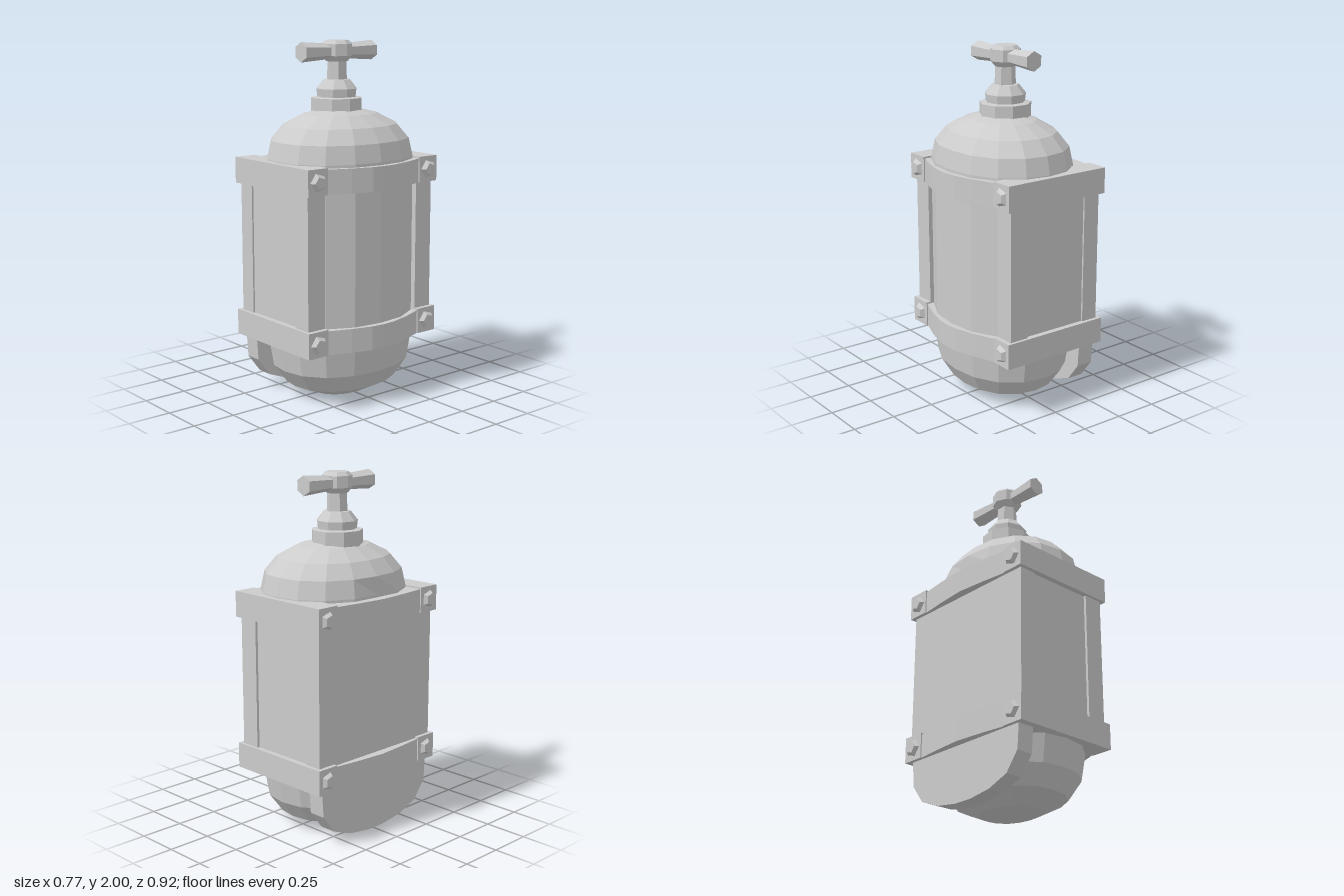
import * as THREE from 'three';

const material = new THREE.MeshStandardMaterial({ color: 0xcccccc, flatShading: true });

export function createModel() {
  const model = new THREE.Group();
  const add = (name, geometry, x = 0, y = 0, z = 0) => {
    const mesh = new THREE.Mesh(geometry, material);
    mesh.name = name;
    mesh.position.set(x, y, z);
    model.add(mesh);
    return mesh;
  };
  const box = (name, x0, x1, y0, y1, z0, z1) =>
    add(name, new THREE.BoxGeometry(x1 - x0, y1 - y0, Math.abs(z1 - z0)),
      (x0 + x1) / 2, (y0 + y1) / 2, (z0 + z1) / 2);
  const points = list => list.map(([a, b]) => new THREE.Vector2(a, b));

  // Tank: lathe squashed to a slightly squared oval, flattened on the right side
  const tank = new THREE.LatheGeometry(points([
    [0, 0.005], [0.42, 0.012], [0.76, 0.075], [0.94, 0.18], [1, 0.33], [1, 0.85], [1, 1.36],
    [0.945, 1.46], [0.78, 1.54], [0.5, 1.6], [0.3, 1.62], [0, 1.63]]), 16);
  const pos = tank.attributes.position;
  for (let i = 0; i < pos.count; i++) {
    const x = pos.getX(i), z = pos.getZ(i), r = Math.hypot(x, z);
    if (r < 1e-6) continue;
    const a = Math.abs(x / r), b = Math.abs(z / r);
    const k = 1 / Math.pow(a ** 2.25 + b ** 2.25, 1 / 2.25);
    pos.setX(i, Math.max(x * k * 0.35 + 0.003, -0.33));
    pos.setZ(i, z * k * 0.428);
  }
  add('tank', tank);

  // Flat backboard with a rounded lower edge
  const half = [[0.44, 1.3], [0.44, 0.4], [0.42, 0.33], [0.41, 0.19], [0.33, 0.085], [0.2, 0.035], [0.06, 0.015]];
  const outline = [...half, ...half.map(([z, y]) => [-z, y]).reverse()];
  const board = new THREE.ExtrudeGeometry(new THREE.Shape(points(outline)), { depth: 0.1, bevelEnabled: false });
  board.rotateY(-Math.PI / 2);
  add('backboard', board, -0.235);

  // Front and back panels with their corner posts
  for (const s of [-1, 1]) {
    box('panel', -0.25, 0.18, 0.4, 1.28, s * 0.3, s * 0.43);
    box('cornerPost', 0.16, 0.275, 0.4, 1.28, s * 0.33, s * 0.445);
  }

  // Two straps: bowed side bands, straight clamp bars and bolts
  const strap = new THREE.Shape(points([
    [-0.345, -0.38], [-0.37, -0.18], [-0.385, 0], [-0.37, 0.18], [-0.345, 0.38], [0.28, 0.38],
    [0.295, 0.33], [0.345, 0.2], [0.378, 0.08], [0.385, 0], [0.378, -0.08], [0.345, -0.2],
    [0.295, -0.33], [0.28, -0.38]]));
  for (const y of [0.33, 1.21]) {
    const band = new THREE.ExtrudeGeometry(strap, { depth: 0.135, bevelEnabled: false });
    band.rotateX(-Math.PI / 2);
    add('sideBand', band, 0, y);
    for (const s of [-1, 1]) {
      box('clampBar', -0.358, 0.302, y, y + 0.145, s * 0.33, s * 0.462);
      for (const [x, d] of [[0.312, -1], [-0.366, 1]]) {
        const bolt = new THREE.CylinderGeometry(0.035, 0.055, 0.025, 5);
        bolt.rotateZ(d * Math.PI / 2);
        add('bolt', bolt, x, y + 0.072, s * 0.396);
      }
    }
  }

  // Valve: stepped collar, stem and faceted knob in one profile each
  const cx = -0.025;
  add('collar', new THREE.LatheGeometry(points([
    [0, 1.6], [0.145, 1.6], [0.145, 1.685], [0.11, 1.69], [0.115, 1.735], [0.075, 1.785], [0, 1.79]]), 9), cx);
  add('stem', new THREE.CylinderGeometry(0.055, 0.06, 0.16, 6), cx, 1.83);
  add('knob', new THREE.LatheGeometry(points([
    [0, 1.88], [0.06, 1.885], [0.085, 1.915], [0.085, 1.98], [0.065, 2], [0, 2]]), 8), cx);

  // Flared handle arms
  for (const s of [-1, 1]) {
    const arm = new THREE.CylinderGeometry(0.055, 0.042, 0.2, 6);
    arm.rotateX(s * Math.PI / 2);
    add('handleArm', arm, cx, 1.94, s * 0.152);
  }
  return model;
}
